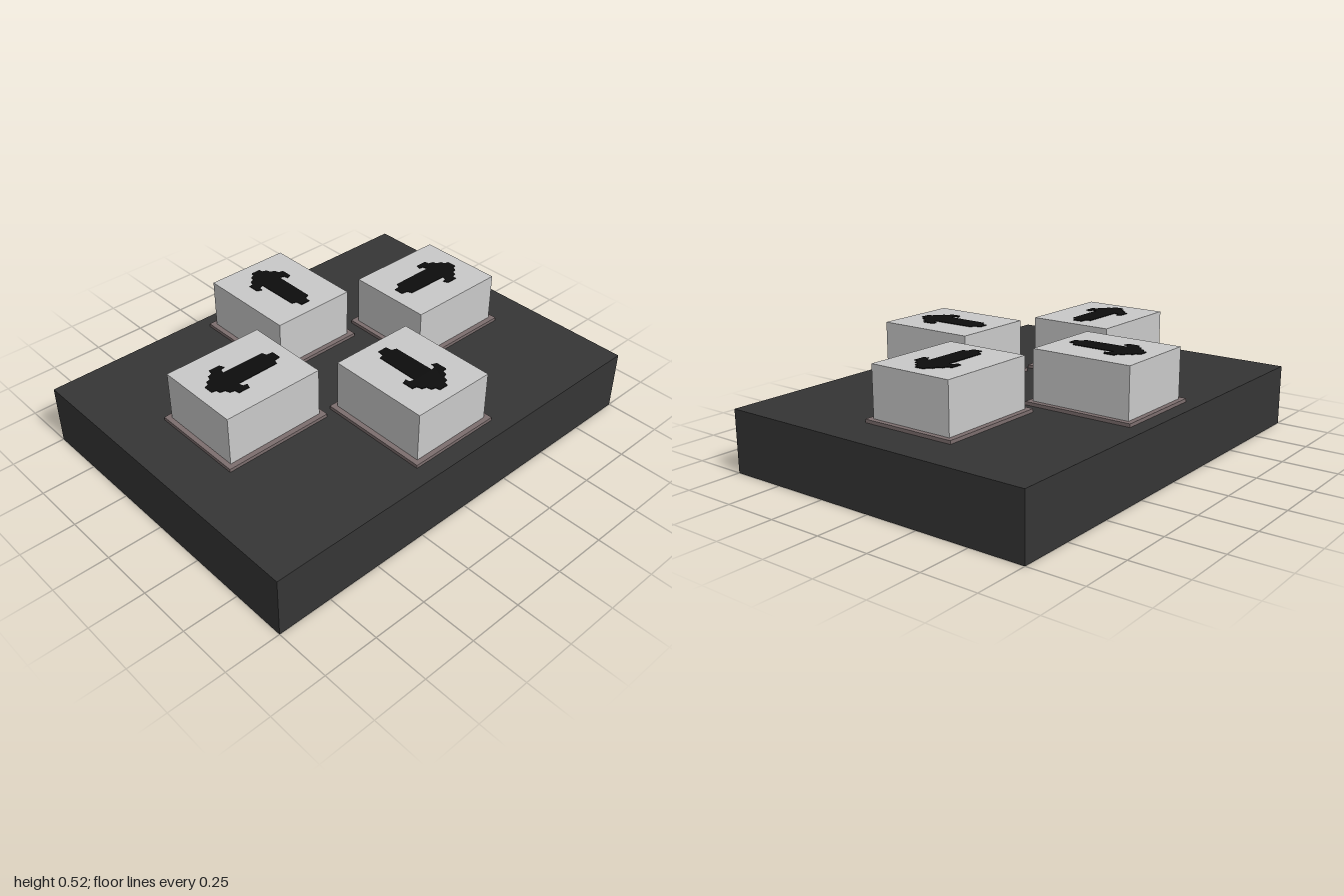
import * as THREE from 'three';

const mat = (name, color) => {
  const m = new THREE.MeshStandardMaterial({ color });
  m.name = name;
  return m;
};

export function createModel() {
  const model = new THREE.Group();
  model.name = 'arrowKeyPad';
  const charcoal = mat('charcoal', 0x353535);
  const lightGrey = mat('lightGrey', 0xc9c9c9);
  const mauve = mat('mauveGrey', 0x7c6e6e);
  const black = mat('black', 0x0d0d0d);

  // Box resting on a given height
  const box = (name, w, h, d, y, material) => {
    const mesh = new THREE.Mesh(new THREE.BoxGeometry(w, h, d), material);
    mesh.position.y = y + h / 2;
    mesh.name = name;
    return mesh;
  };

  model.add(box('base', 2, 0.28, 1.5, 0, charcoal));

  // Stepped arrow: right half from tip to tail, mirrored for the left half
  const half = [
    [0.022, 0.175], [0.026, 0.155], [0.045, 0.15], [0.05, 0.128], [0.07, 0.122],
    [0.076, 0.1], [0.098, 0.096], [0.098, 0.045], [0.076, 0.036], [0.072, 0.056],
    [0.05, 0.062], [0.048, -0.138], [0.026, -0.145], [0.022, -0.175],
  ];
  const outline = [...half, ...half.slice().reverse().map(([x, y]) => [-x, y])]
    .map(([x, y]) => new THREE.Vector2(x, y));
  const arrowGeo = new THREE.ExtrudeGeometry(new THREE.Shape(outline), { depth: 0.003, bevelEnabled: false });
  arrowGeo.rotateX(-Math.PI / 2);

  // One key, pointing to -z before it is turned
  const addKey = (name, x, z, turn) => {
    const key = new THREE.Group();
    key.name = name;
    const arrow = new THREE.Mesh(arrowGeo, black);
    arrow.name = 'arrow';
    arrow.position.y = 0.52;
    key.add(
      box('keyTrim', 0.443, 0.015, 0.512, 0.28, mauve),
      box('keyCap', 0.395, 0.225, 0.467, 0.295, lightGrey),
      arrow,
    );
    key.position.set(x, 0, z);
    key.rotation.y = turn;
    model.add(key);
  };

  addKey('backKey', 0.01, -0.423, 0);
  addKey('frontKey', 0.01, 0.411, Math.PI);
  addKey('rightKey', -0.512, -0.034, Math.PI / 2);
  addKey('leftKey', 0.551, -0.034, -Math.PI / 2);
  return model;
}
